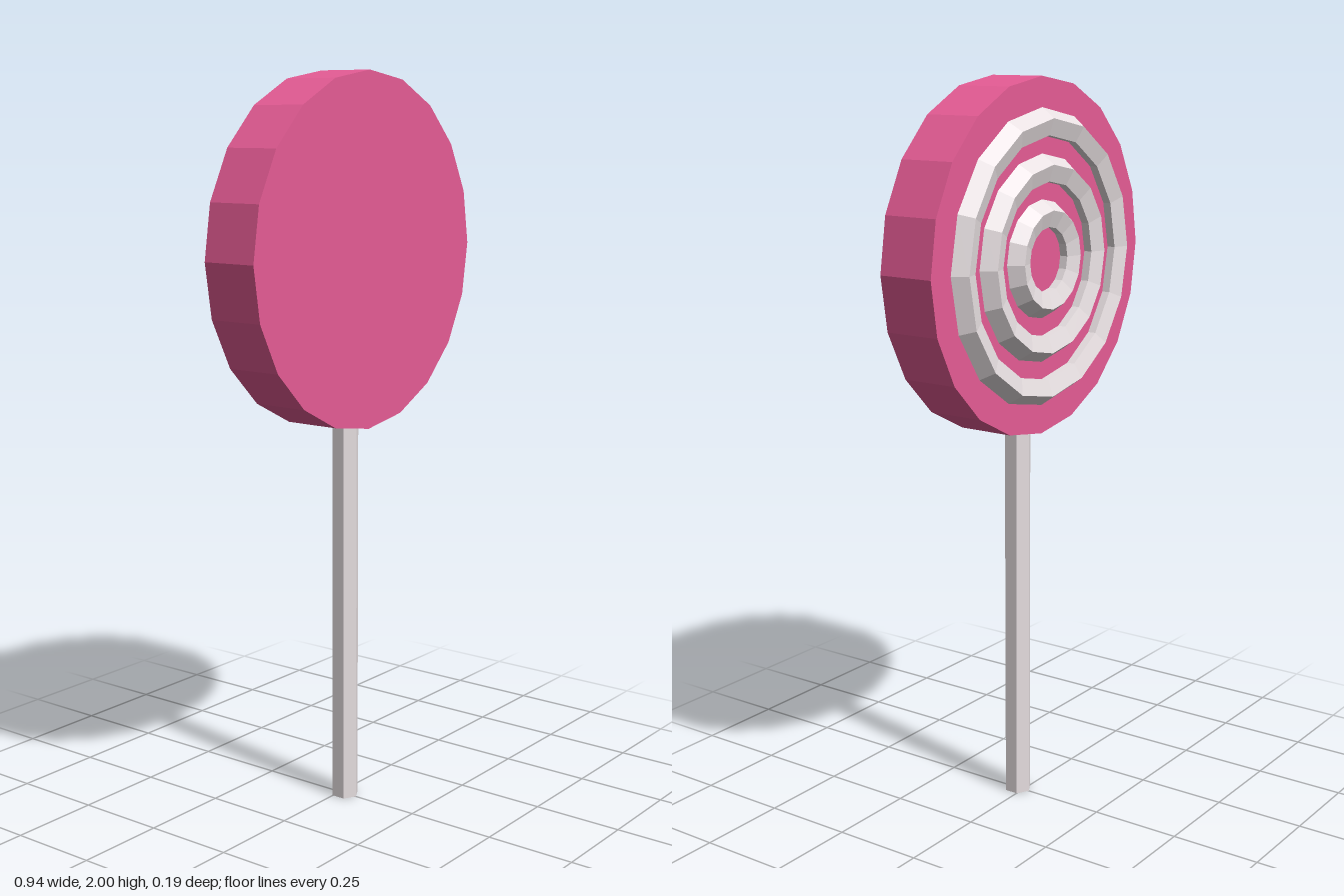
import * as THREE from 'three';

export function createModel() {
  const pink = new THREE.MeshStandardMaterial({ color: 0xe65c95, flatShading: true });
  pink.name = 'candyPink';
  const white = new THREE.MeshStandardMaterial({ color: 0xebe3e5, flatShading: true });
  white.name = 'sugarWhite';

  const model = new THREE.Group();
  model.name = 'lollipop';

  const candyY = 1.53, candyRadius = 0.47, depth = 0.157, centreZ = 0.0185;

  function add(name, geometry, material, y, z) {
    const mesh = new THREE.Mesh(geometry, material);
    mesh.name = name;
    mesh.position.set(0, y, z);
    model.add(mesh);
    return mesh;
  }

  // Hexagonal stick, its top end sunk into the candy
  const stickHeight = 1.15;
  add('stick', new THREE.CylinderGeometry(0.038, 0.038, stickHeight, 6), white, stickHeight / 2, centreZ);

  // Twenty-sided candy disc facing front and back
  const disc = new THREE.CylinderGeometry(candyRadius, candyRadius, depth, 20).rotateX(Math.PI / 2);
  add('candyDisc', disc, pink, candyY, centreZ);

  // Three concentric sugar rings half sunk into the back face
  ['innerRing', 'middleRing', 'outerRing'].forEach((name, i) => {
    const ring = new THREE.TorusGeometry(0.1175 * (i + 1), 0.039, 5, 16);
    add(name, ring, white, candyY, centreZ - depth / 2);
  });

  return model;
}
